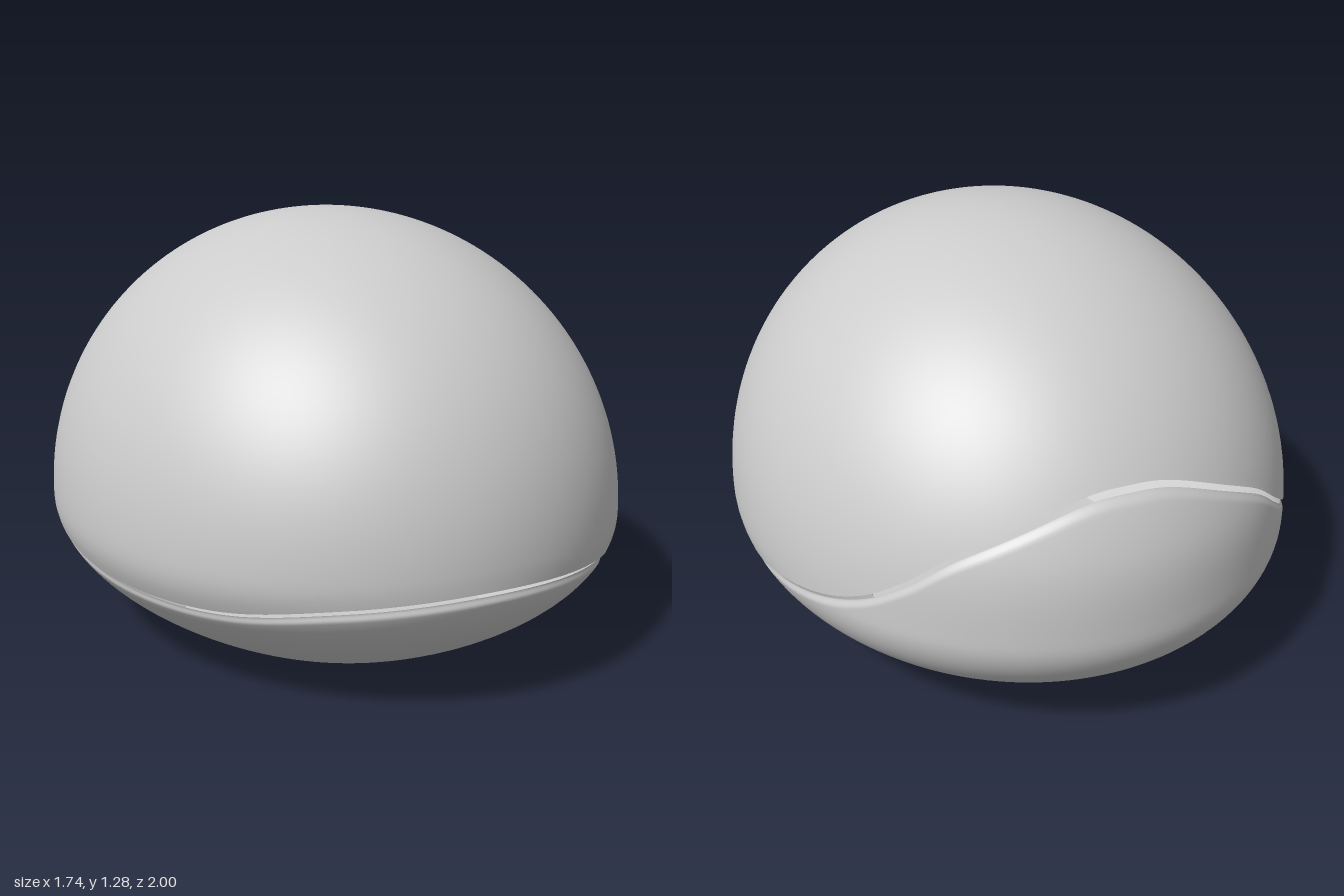
import * as THREE from 'three';

const HALF_WIDTH = 0.87, EQUATOR = 0.4, DOME_HEIGHT = 0.88;
const COLS = 80, ROWS = 48; // columns per half turn, rows per shell
const material = new THREE.MeshStandardMaterial({ color: 0xcccccc, side: THREE.DoubleSide });

// Seam between the shells: angle from the front, height (first and last are mirrored neighbours)
const seamPoints = [
  [-0.45, 0.34], [0, 0.365], [0.45, 0.34], [0.795, 0.295], [1.05, 0.283], [1.37, 0.287],
  [1.57, 0.305], [1.77, 0.335], [2.09, 0.4], [2.28, 0.465], [2.43, 0.55], [2.61, 0.66],
  [2.93, 0.775], [Math.PI, 0.8], [3.353, 0.775],
];
const seamCurve = new THREE.SplineCurve(seamPoints.map(([a, y]) => new THREE.Vector2(a, y)));

// One [angle, height] per column around the whole seam
function seamLoop() {
  const half = [], n = seamPoints.length - 1;
  for (let i = 0; i <= COLS; i++) {
    const p = seamCurve.getPoint((1 + (n - 2) * i / COLS) / n);
    half.push([p.x, p.y]);
  }
  const mirrored = half.slice(1, -1).reverse().map(([a, y]) => [2 * Math.PI - a, y]);
  return [...half, ...mirrored];
}

// Relative radius of the body at a height: elliptical above, parabolic below
function bodyRadius(y) {
  const d = y - EQUATOR;
  return d > 0 ? Math.sqrt(Math.max(0, 1 - (d / DOME_HEIGHT) ** 2)) : 1 - 2.8 * d * d;
}

// Closed band of quads; profile(seamHeight, t) gives [radius, height] for t from 0 to 1
function shell(name, profile) {
  const loop = seamLoop(), n = loop.length, position = [], index = [];
  for (let j = 0; j <= ROWS; j++) {
    for (const [a, seamY] of loop) {
      const [r, y] = profile(seamY, j / ROWS);
      position.push(HALF_WIDTH * r * Math.sin(a), y, r * Math.cos(a));
    }
  }
  for (let j = 0; j < ROWS; j++) {
    for (let i = 0; i < n; i++) {
      const a = j * n + i, b = j * n + (i + 1) % n;
      index.push(a, b, a + n, b, b + n, a + n);
    }
  }
  const geometry = new THREE.BufferGeometry();
  geometry.setAttribute('position', new THREE.Float32BufferAttribute(position, 3));
  geometry.setIndex(index);
  geometry.computeVertexNormals();
  const mesh = new THREE.Mesh(geometry, material);
  mesh.name = name;
  return mesh;
}

export function createModel() {
  const group = new THREE.Group();
  group.name = 'domedShell';

  // Upper cover, from the seam to the crown
  group.add(shell('domeCover', (seamY, t) => {
    const start = Math.asin((seamY + 0.008 - EQUATOR) / DOME_HEIGHT);
    const a = THREE.MathUtils.lerp(start, Math.PI / 2, t);
    const y = EQUATOR + DOME_HEIGHT * Math.sin(a);
    return [bodyRadius(y), y];
  }));

  // Lower bowl, slightly fuller where it rises at the back, with a softened lip
  group.add(shell('baseBowl', (seamY, t) => {
    const s = 1 - (1 - t) ** 1.4; // rows gather towards the lip
    const y = s * (seamY - 0.008);
    const bulge = 0.012 * THREE.MathUtils.smoothstep(y, 0.42, 0.65);
    const lip = 0.01 * THREE.MathUtils.smoothstep(y, seamY - 0.03, seamY - 0.008);
    return [bodyRadius(y) + bulge - lip, y];
  }));

  // Flat oval foot
  const foot = new THREE.Mesh(new THREE.CircleGeometry(bodyRadius(0), 96), material);
  foot.name = 'flatFoot';
  foot.rotation.x = Math.PI / 2;
  foot.scale.x = HALF_WIDTH;
  group.add(foot);

  return group;
}
